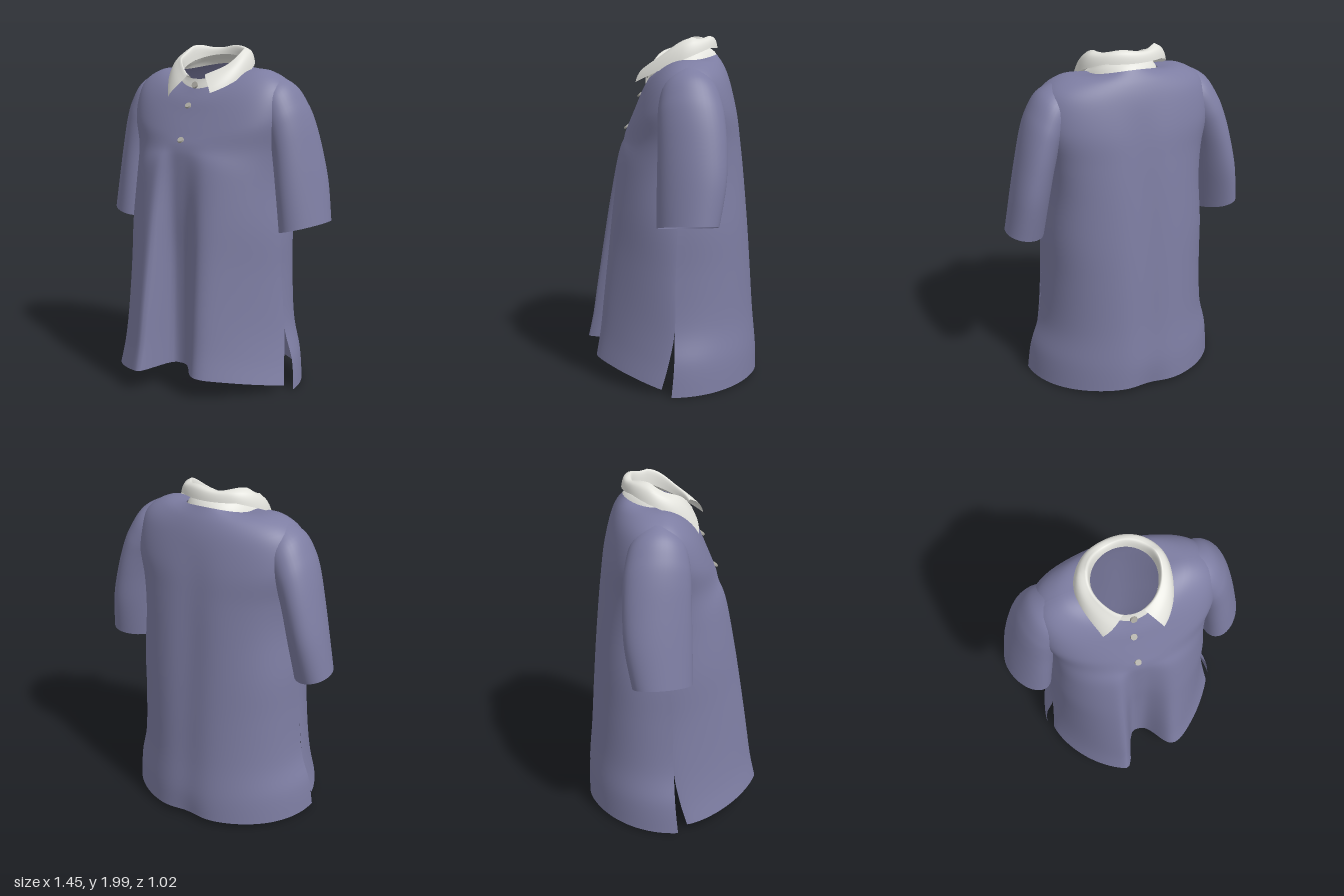
import * as THREE from 'three';

const fabric = new THREE.MeshStandardMaterial({ color: 0x7d7da2, side: THREE.DoubleSide });
fabric.name = 'slate blue fabric';
const white = new THREE.MeshStandardMaterial({ color: 0xe2e2dc, side: THREE.DoubleSide });
white.name = 'off-white collar cloth';
const horn = new THREE.MeshStandardMaterial({ color: 0xaaa8a0 });
horn.name = 'grey button';

// Smooth interpolation through rows of key values
function sample(keys, v) {
  const n = keys.length - 1;
  const i = Math.min(Math.floor(v), n - 1), f = v - i;
  const at = (k) => keys[Math.max(0, Math.min(n, k))];
  return keys[0].map((_, c) => {
    const [a, b, d, e] = [at(i - 1)[c], at(i)[c], at(i + 1)[c], at(i + 2)[c]];
    const m0 = (d - a) / 2, m1 = (e - b) / 2;
    return b + m0 * f + (3 * (d - b) - 2 * m0 - m1) * f * f + (2 * (b - d) + m0 + m1) * f * f * f;
  });
}

// Sheet from a point rule: u runs around, v runs down; cut into named bands with shared normals
function addSheet(group, rule, spans, cols, perSpan, bands, material) {
  const rows = spans * perSpan, pos = [];
  for (let i = 0; i <= rows; i++)
    for (let j = 0; j <= cols; j++) pos.push(...rule(j / cols, i / perSpan));
  const indexFor = (r0, r1) => {
    const idx = [];
    for (let i = r0; i < r1; i++)
      for (let j = 0; j < cols; j++) {
        const a = i * (cols + 1) + j, c = a + cols + 1;
        idx.push(a, c, a + 1, a + 1, c, c + 1);
      }
    return idx;
  };
  const whole = new THREE.BufferGeometry();
  whole.setAttribute('position', new THREE.Float32BufferAttribute(pos, 3));
  whole.setIndex(indexFor(0, rows));
  whole.computeVertexNormals();
  for (const [name, from, to] of bands) {
    const g = new THREE.BufferGeometry();
    g.setAttribute('position', whole.attributes.position);
    g.setAttribute('normal', whole.attributes.normal);
    g.setIndex(indexFor(from * perSpan, to * perSpan));
    const mesh = new THREE.Mesh(g, material);
    mesh.name = name;
    group.add(mesh);
  }
}

// Body rows, neck to hem: [middle y, side y, half width, side z, middle z, fold depth, roundness]
const FRONT = [
  [1.76, 1.855, 0.2, -0.08, 0.13, 0, 1],
  [1.68, 1.852, 0.35, -0.07, 0.175, 0, 0.95],
  [1.6, 1.77, 0.475, -0.07, 0.208, 0, 0.87],
  [1.5, 1.6, 0.505, -0.06, 0.25, 0, 0.82],
  [1.42, 1.4, 0.465, -0.05, 0.285, 0.005, 0.8],
  [1.32, 1.2, 0.455, -0.03, 0.34, 0.05, 0.8],
  [1.05, 0.93, 0.48, -0.02, 0.4, 0.105, 0.95],
  [0.79, 0.66, 0.49, -0.01, 0.45, 0.16, 1.1],
  [0.5, 0.37, 0.515, -0.005, 0.5, 0.21, 1.25],
  [0.29, 0.18, 0.535, 0.03, 0.53, 0.24, 1.35],
  [0.14, 0.04, 0.555, 0.07, 0.56, 0.27, 1.4],
];
const BACK = [
  [1.89, 1.855, 0.2, -0.08, -0.26, 0, 1],
  [1.82, 1.852, 0.35, -0.07, -0.305, 0, 0.92],
  [1.72, 1.77, 0.475, -0.07, -0.34, 0, 0.78],
  [1.56, 1.6, 0.505, -0.06, -0.38, 0.01, 0.68],
  [1.4, 1.4, 0.465, -0.05, -0.405, 0.015, 0.65],
  [1.2, 1.2, 0.455, -0.03, -0.43, 0.02, 0.65],
  [0.93, 0.93, 0.48, -0.02, -0.455, 0.02, 0.72],
  [0.68, 0.66, 0.49, -0.01, -0.475, 0.02, 0.8],
  [0.4, 0.37, 0.515, -0.005, -0.495, 0.02, 0.9],
  [0.18, 0.18, 0.57, 0, -0.515, 0.02, 1],
  [0.035, 0.005, 0.59, 0.015, -0.52, 0.03, 1],
];

// Half-oval cross-section with a soft vertical fold down the middle
function panelPoint(keys, front, u, v) {
  const [ym, ys, w, zc, zm, fold, power] = sample(keys, v);
  const t = Math.PI * (front ? u : 1 + u);
  const s = Math.abs(Math.sin(t)), x = -w * Math.cos(t);
  const flatter = front ? 1.8 * fold * THREE.MathUtils.smoothstep(x, 0, 0.35) : 0;
  const round = s ** (power + flatter);
  let z = zc + (zm - zc) * round;
  if (front) {
    const off = Math.abs(x + 0.02);
    z -= fold * Math.exp(x < -0.02 ? -((off / 0.1) ** 3.5) : -((off / 0.14) ** 2.8));
    z -= fold * 0.2 * THREE.MathUtils.smoothstep(x, 0.04, 0.2) * round;
  } else {
    z += fold * Math.exp(-((x / 0.11) ** 2));
  }
  return [x, ys + (ym - ys) * s * s, z];
}

// Sleeve rows, shoulder to cuff: [x, y, z, radius x, radius z, rise of outer side, skew]
const SLEEVE = [
  [0.32, 1.755, -0.08, 0.07, 0.1, 0.08, 0],
  [0.41, 1.695, -0.085, 0.09, 0.152, 0.08, 0.05],
  [0.467, 1.605, -0.09, 0.1, 0.175, 0.07, 0.12],
  [0.502, 1.52, -0.094, 0.108, 0.182, 0.045, 0.22],
  [0.538, 1.38, -0.097, 0.113, 0.183, 0.025, 0.35],
  [0.572, 1.195, -0.092, 0.119, 0.178, 0.025, 0.45],
  [0.605, 0.97, -0.072, 0.122, 0.158, 0.03, 0.45],
];
function sleevePoint(u, v) {
  const [x, y, z, rx, rz, rise, skew] = sample(SLEEVE, v);
  const t = u * Math.PI * 2, c = Math.cos(t);
  return [x - rx * c, y - rise * c, z + rz * Math.sin(t) + skew * rx * c];
}

// Oval around the neck; angle 0 is the front
function neckOval(a, rx, zf, zb) {
  const c = Math.cos(a);
  return [rx * Math.sin(a), -0.05 + c * (c > 0 ? zf + 0.05 : -0.05 - zb)];
}
const standTop = (z) => 1.855 - 0.42 * z;
const STAND = [[0.178, 0.122, -0.2], [0.203, 0.138, -0.262]];
function standPoint(u, v) {
  const a = u * Math.PI * 2, c = Math.cos(a);
  const [x, z] = neckOval(a, ...sample(STAND, v));
  const low = 1.85 + c * c * (c > 0 ? -0.11 : 0.035);
  return [x, (1 - v) * standTop(z) + v * low, z];
}

// Turned-down collar: inner edge, fold line, bulge, outer edge
// [radius x, front z, back z, left opening angle, right opening angle, right side set back]
const LEAF = [
  [0.178, 0.122, -0.2, 0.25, 0.3, 0],
  [0.195, 0.14, -0.22, 0.28, 0.38, 0],
  [0.232, 0.205, -0.25, 0.42, 0.58, 0.01],
  [0.252, 0.26, -0.265, 0.56, 0.8, 0.015],
];
function leafPoint(u, v) {
  const [rx, zf, zb, openL, openR, back] = sample(LEAF, v);
  const a = openL + u * (2 * Math.PI - openL - openR);
  const rightSide = a > Math.PI;
  const [x, z] = neckOval(a, rx + (rightSide ? back : 0), zf - (rightSide ? back : 0), zb);
  const c = Math.max(0, Math.cos(a));
  const top = Math.min(1.985, 1.93 - 0.5 * z) - 0.05 * c ** 4 + 0.008 * Math.sin(5 * a);
  const tip = 0.02 + (rightSide ? 0.16 : 0);
  const bottom = Math.min(1.925, 1.835 - 0.42 * z) - tip * c * c;
  if (v < 1) {
    const f = 1 - (1 - v) ** 2;
    return [x, standTop(z) * (1 - f) + top * f, z];
  }
  const f = (v - 1) / 2;
  return [x, top + (bottom - top) * f + 0.02 * Math.sin(Math.PI * f), z];
}

export function createModel() {
  const shirt = new THREE.Group();
  shirt.name = 'poloShirt';

  // Front and back panels, separate below the side slits
  const bandsOf = (side) => [
    [side + 'Yoke', 0, 5], [side + 'Middle', 5, 7], [side + 'Skirt', 7, 9], [side + 'Hem', 9, 10],
  ];
  for (const [name, keys, front] of [['front', FRONT, true], ['back', BACK, false]]) {
    const panel = new THREE.Group();
    panel.name = name + 'Panel';
    addSheet(panel, (u, v) => panelPoint(keys, front, u, v), 10, 80, 6, bandsOf(name), fabric);
    shirt.add(panel);
  }

  // Sleeves
  for (const [name, sx] of [['leftSleeve', 1], ['rightSleeve', -1]]) {
    const sleeve = new THREE.Group();
    sleeve.name = name;
    sleeve.scale.x = sx;
    addSheet(sleeve, sleevePoint, 6, 40, 6, [['upperSleeve', 0, 5], ['cuff', 5, 6]], fabric);
    shirt.add(sleeve);
  }

  // Collar
  const collar = new THREE.Group();
  collar.name = 'collar';
  addSheet(collar, standPoint, 1, 64, 4, [['collarStand', 0, 1]], white);
  addSheet(collar, leafPoint, 3, 64, 5, [['collarLeaf', 0, 3]], white);
  shirt.add(collar);

  // Buttons leaning back with the chest: [x, y, z, lean]
  for (const [x, y, z, lean] of [[-0.01, 1.77, 0.141, 0.4], [-0.025, 1.655, 0.19, 0.85], [-0.025, 1.465, 0.27, 0.85]]) {
    const button = new THREE.Mesh(new THREE.CylinderGeometry(0.018, 0.02, 0.01, 20), horn);
    button.name = 'button';
    button.position.set(x, y, z);
    button.rotation.x = Math.PI / 2 - lean;
    shirt.add(button);
  }
  return shirt;
}
